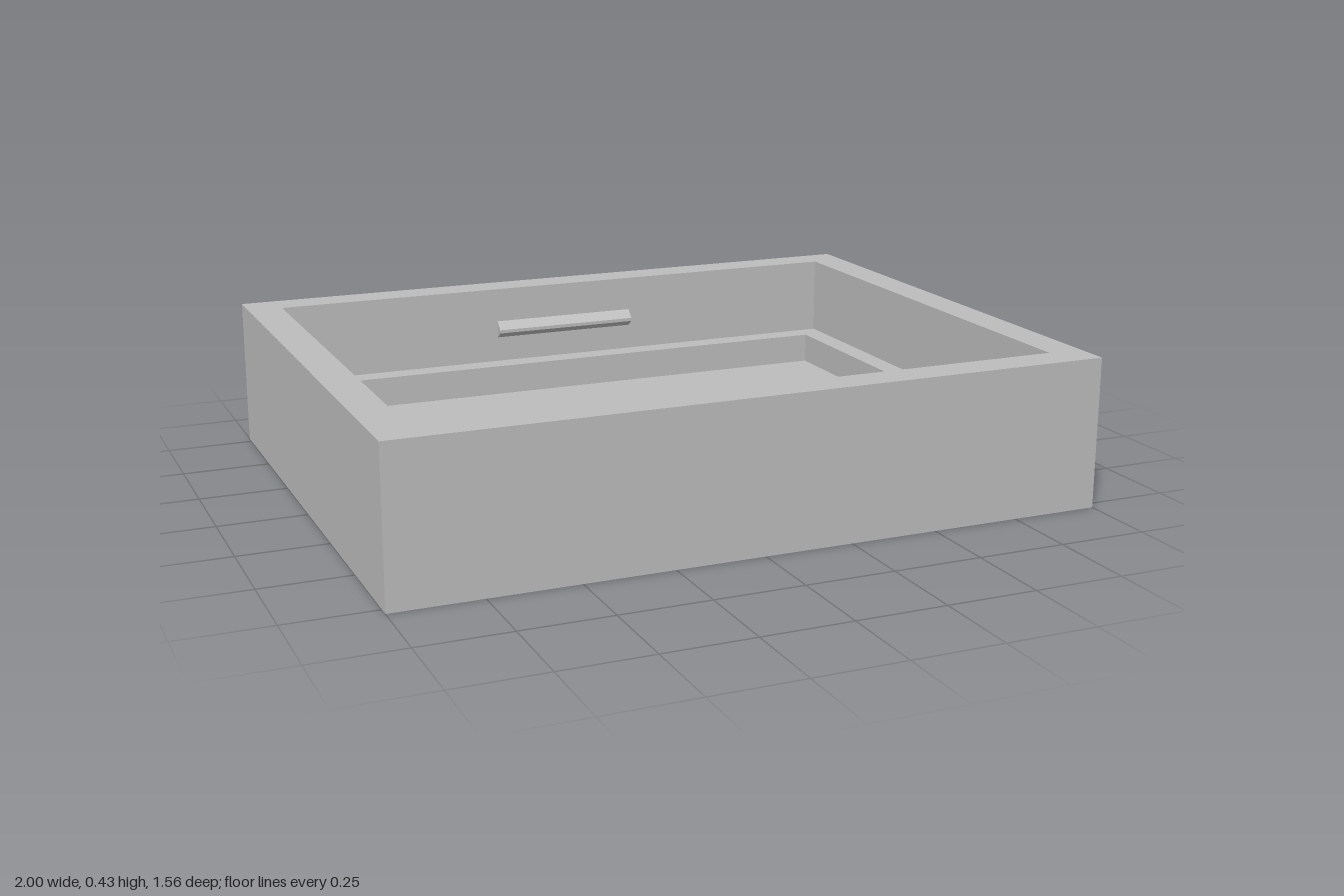
import * as THREE from 'three';

// Rectangular rings from the underside, over the rim, down the ledge to the floor: [half x, y, half z]
const RINGS = [
  [1, 0, 0.78],
  [1, 0.425, 0.78],
  [0.9, 0.425, 0.68],
  [0.9, 0.194, 0.68],
  [0.835, 0.194, 0.613],
  [0.835, 0.105, 0.613],
];
const CORNERS = [[1, 1], [1, -1], [-1, -1], [-1, 1]];

function trayGeometry() {
  const positions = [];
  const point = (ring, i) => {
    const [hx, y, hz] = RINGS[ring];
    const [sx, sz] = CORNERS[i % 4];
    return [sx * hx, y, sz * hz];
  };
  const quad = (a, b, c, d) => positions.push(...a, ...b, ...c, ...a, ...c, ...d);

  // Walls, rim and ledge
  for (let r = 0; r < RINGS.length - 1; r++) {
    for (let i = 0; i < 4; i++) {
      quad(point(r, i), point(r, i + 1), point(r + 1, i + 1), point(r + 1, i));
    }
  }
  // Underside and inner floor
  const last = RINGS.length - 1;
  quad(point(0, 3), point(0, 2), point(0, 1), point(0, 0));
  quad(point(last, 0), point(last, 1), point(last, 2), point(last, 3));

  const geometry = new THREE.BufferGeometry();
  geometry.setAttribute('position', new THREE.Float32BufferAttribute(positions, 3));
  geometry.computeVertexNormals();
  return geometry;
}

// Bevelled snap ridge, running along x and growing out of the back wall
function ridgeGeometry() {
  const length = 0.445;
  const profile = new THREE.Shape([
    new THREE.Vector2(0, 0.27),
    new THREE.Vector2(0.025, 0.288),
    new THREE.Vector2(0.025, 0.298),
    new THREE.Vector2(0, 0.322),
  ]);
  const geometry = new THREE.ExtrudeGeometry(profile, { depth: length, bevelEnabled: false });
  geometry.translate(0, 0, -length / 2);
  geometry.rotateY(-Math.PI / 2);
  geometry.translate(0, 0, -0.68);
  return geometry;
}

export function createModel() {
  const group = new THREE.Group();
  group.name = 'steppedTray';
  const grey = new THREE.MeshStandardMaterial({ color: 0xbcbcbc });
  grey.name = 'grey';

  const tray = new THREE.Mesh(trayGeometry(), grey);
  tray.name = 'tray';
  group.add(tray);

  // One ridge on the back wall, the same turned round on the front wall
  const ridge = ridgeGeometry();
  for (const [name, turn] of [['backSnapRidge', 0], ['frontSnapRidge', Math.PI]]) {
    const mesh = new THREE.Mesh(ridge, grey);
    mesh.name = name;
    mesh.rotation.y = turn;
    group.add(mesh);
  }
  return group;
}
